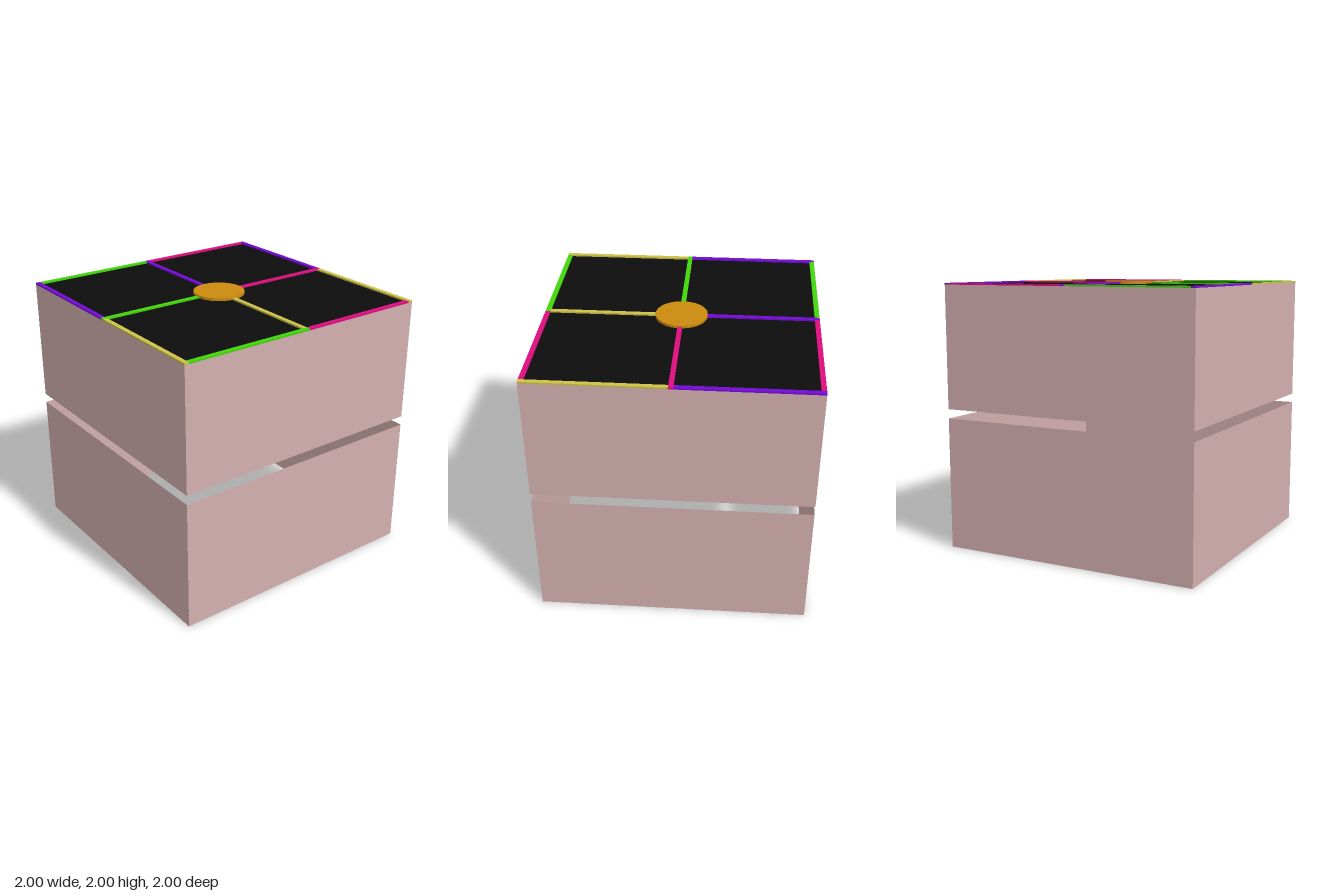
import * as THREE from 'three';

const paint = (color, extra = {}) => {
  const m = new THREE.MeshStandardMaterial({ color, ...extra });
  return m;
};

export function createModel() {
  const model = new THREE.Group();
  model.name = 'twoTierBox';

  const pink = 0xd4b0b0;
  const purple = paint(0x740ad6), yellow = paint(0xccc248);
  const green = paint(0x42d60a), magenta = paint(0xde0c7e);

  const add = (name, geometry, material, x, y, z) => {
    const mesh = new THREE.Mesh(geometry, material);
    mesh.name = name;
    mesh.position.set(x, y, z);
    model.add(mesh);
    return mesh;
  };

  // Lower tier: four thin walls, open above and below
  const wallHeight = 0.99;
  const walls = new THREE.CylinderGeometry(Math.SQRT2, Math.SQRT2, wallHeight, 4, 1, true);
  walls.rotateY(Math.PI / 4);
  add('lowerWalls', walls, paint(pink, { flatShading: true, side: THREE.DoubleSide }), 0, wallHeight / 2, 0);

  // Upper tier: closed block with a black top face
  const bottom = 1.06, top = 1.98;
  const side = paint(pink), black = paint(0x0d0d0d);
  add('upperBlock', new THREE.BoxGeometry(2, top - bottom, 2),
    [side, side, black, side, side, side], 0, (top + bottom) / 2, 0);

  // Raised coloured strips, given by their extents in x and z
  const stripHeight = 0.012;
  const strip = (name, material, x0, x1, z0, z1) =>
    add(name, new THREE.BoxGeometry(x1 - x0, stripHeight, z1 - z0), material,
      (x0 + x1) / 2, top + stripHeight / 2, (z0 + z1) / 2);

  const w = 0.035, h = w / 2, inner = 1 - w;

  // Front and back borders
  for (const [end, z0] of [['front', inner], ['back', -1]]) {
    strip(end + 'BorderRight', purple, -1, -h, z0, z0 + w);
    strip(end + 'BorderLeft', yellow, h, 1, z0, z0 + w);
  }
  // Side borders
  strip('rightBorderFront', green, -1, -inner, h, inner);
  strip('rightBorderBack', magenta, -1, -inner, -inner, -h);
  strip('leftBorderFront', green, inner, 1, -h, inner);
  strip('leftBorderBack', magenta, inner, 1, -inner, -h);
  // Centre cross
  strip('crossRight', purple, -1, -h, -h, h);
  strip('crossLeft', yellow, h, inner, -h, h);
  strip('crossFront', green, -h, h, 0, 1);
  strip('crossBack', magenta, -h, h, -1, 0);

  // Round button over the crossing
  const buttonHeight = 2 - top;
  add('centreButton', new THREE.CylinderGeometry(0.19, 0.19, buttonHeight, 48),
    paint(0xcc8c0e), 0, top + buttonHeight / 2, 0);

  return model;
}
